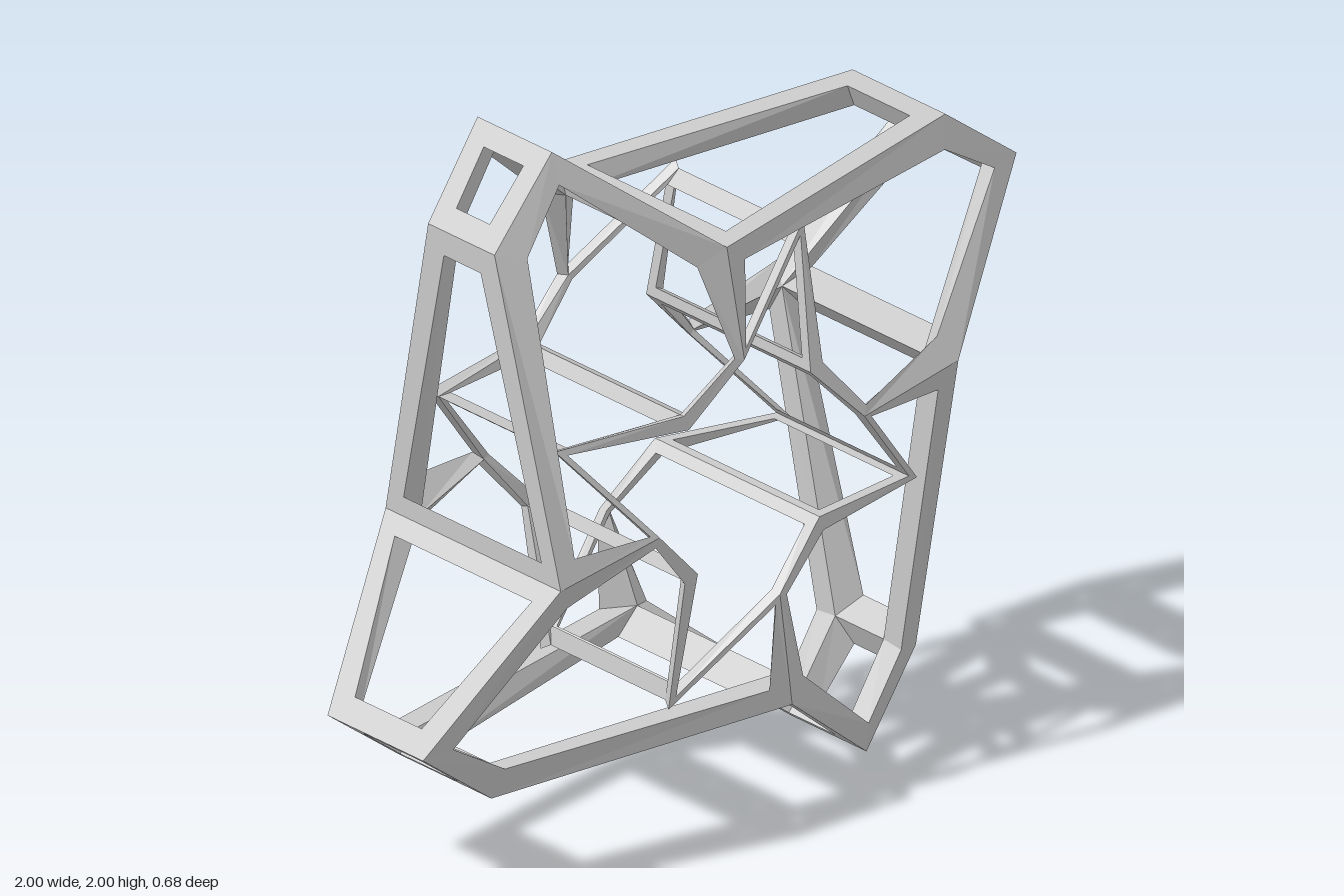
import * as THREE from 'three';

// One arm of the four-armed cage: [x, y from centre, half depth on upright arms, half depth on side arms, strut width]
const ARM = {
  A: [-0.53, 1.0, 0.14, 0.18, 0.09],   // arm tip, leading corner
  B: [-0.71, 0.765, 0.125, 0.175, 0.09], // arm tip, trailing corner
  C: [-0.11, 0.67, 0.33, 0.33, 0.09],  // valley between arms
  D: [-0.06, 0.345, 0.34, 0.34, 0.03], // rim of the central opening
  E: [0.21, 0.575, 0.25, 0.25, 0.04],  // point of the star-shaped opening
  F: [-0.22, 0.19, 0.31, 0.31, 0.045], // inner bend of the opening
};

const verts = {};
function addVertices() {
  for (let k = 0; k < 4; k++) {
    for (const key in ARM) {
      const [x0, y0, zUp, zSide, width] = ARM[key];
      let x = x0, y = y0;
      for (let i = 0; i < k; i++) [x, y] = [y, -x];
      const z = k % 2 ? zSide : zUp;
      for (const s of [1, -1]) {
        verts[key + k + (s > 0 ? 'f' : 'b')] = {
          p: new THREE.Vector3(x, y + 1, z * s), n: new THREE.Vector3(), width,
        };
      }
    }
  }
}

// Panels of the closed shape, corners counter-clockwise from outside
function listPanels() {
  const panels = { frontFrame: [], backFrame: [], outerRim: [], openingRim: [] };
  for (let k = 0; k < 4; k++) {
    const j = (k + 3) % 4;
    const loop = ['A' + k, 'B' + k, 'C' + j, 'D' + j, 'E' + j, 'F' + k, 'D' + k, 'C' + k];
    panels.frontFrame.push(loop.map((v) => v + 'f'));
    panels.backFrame.push(loop.map((v) => v + 'b').reverse());
    const wall = (...path) => [
      ...path.map((v) => v + 'f').reverse(),
      ...path.map((v) => v + 'b'),
    ];
    panels.outerRim.push(wall('A' + k, 'B' + k), wall('B' + k, 'C' + j), wall('C' + k, 'A' + k));
    panels.openingRim.push(wall('E' + j, 'F' + k), wall('F' + k, 'D' + k, 'E' + k));
  }
  return panels;
}

// Inset point of every corner of a panel; also gathers the vertex normals
function insetPanel(names) {
  const c = names.map((n) => verts[n]);
  const count = c.length;
  const faceNormal = new THREE.Vector3();
  c.forEach((v, i) => faceNormal.add(new THREE.Vector3().crossVectors(v.p, c[(i + 1) % count].p)));
  faceNormal.normalize();
  const insets = c.map((v, i) => {
    const dirIn = v.p.clone().sub(c[(i + count - 1) % count].p).normalize();
    const dirOut = c[(i + 1) % count].p.clone().sub(v.p).normalize();
    let normal = new THREE.Vector3().crossVectors(dirIn, dirOut);
    if (normal.length() < 0.3) normal = faceNormal.clone();
    normal.normalize();
    if (normal.dot(faceNormal) < 0) normal.negate();
    v.n.add(normal);
    const inward = new THREE.Vector3().crossVectors(normal, dirIn.add(dirOut)).normalize();
    return v.p.clone().addScaledVector(inward, v.width);
  });
  return { c, insets };
}

// Struts along the panel edges: an outer strip and a strip facing into the cage
function strutGeometry(list) {
  const pos = [];
  const quad = (a, b, c, d) => [a, b, c, a, c, d].forEach((p) => pos.push(p.x, p.y, p.z));
  const innerPoint = (v) => v.p.clone().addScaledVector(v.n.clone().normalize(), -v.width);
  for (const { c, insets } of list) {
    c.forEach((v, i) => {
      const m = (i + 1) % c.length;
      quad(v.p, c[m].p, insets[m], insets[i]);
      quad(insets[i], insets[m], innerPoint(c[m]), innerPoint(v));
    });
  }
  const geo = new THREE.BufferGeometry();
  geo.setAttribute('position', new THREE.Float32BufferAttribute(pos, 3));
  geo.computeVertexNormals();
  return geo;
}

export function createModel() {
  const group = new THREE.Group();
  group.name = 'starCage';
  const material = new THREE.MeshStandardMaterial({
    color: 0xcccccc, flatShading: true, side: THREE.DoubleSide,
  });
  addVertices();
  const panels = listPanels();
  // All panels are inset first so that every vertex normal is complete
  const parts = Object.entries(panels).map(([name, list]) => [name, list.map(insetPanel)]);
  for (const [name, list] of parts) {
    const mesh = new THREE.Mesh(strutGeometry(list), material);
    mesh.name = name;
    group.add(mesh);
  }
  return group;
}
